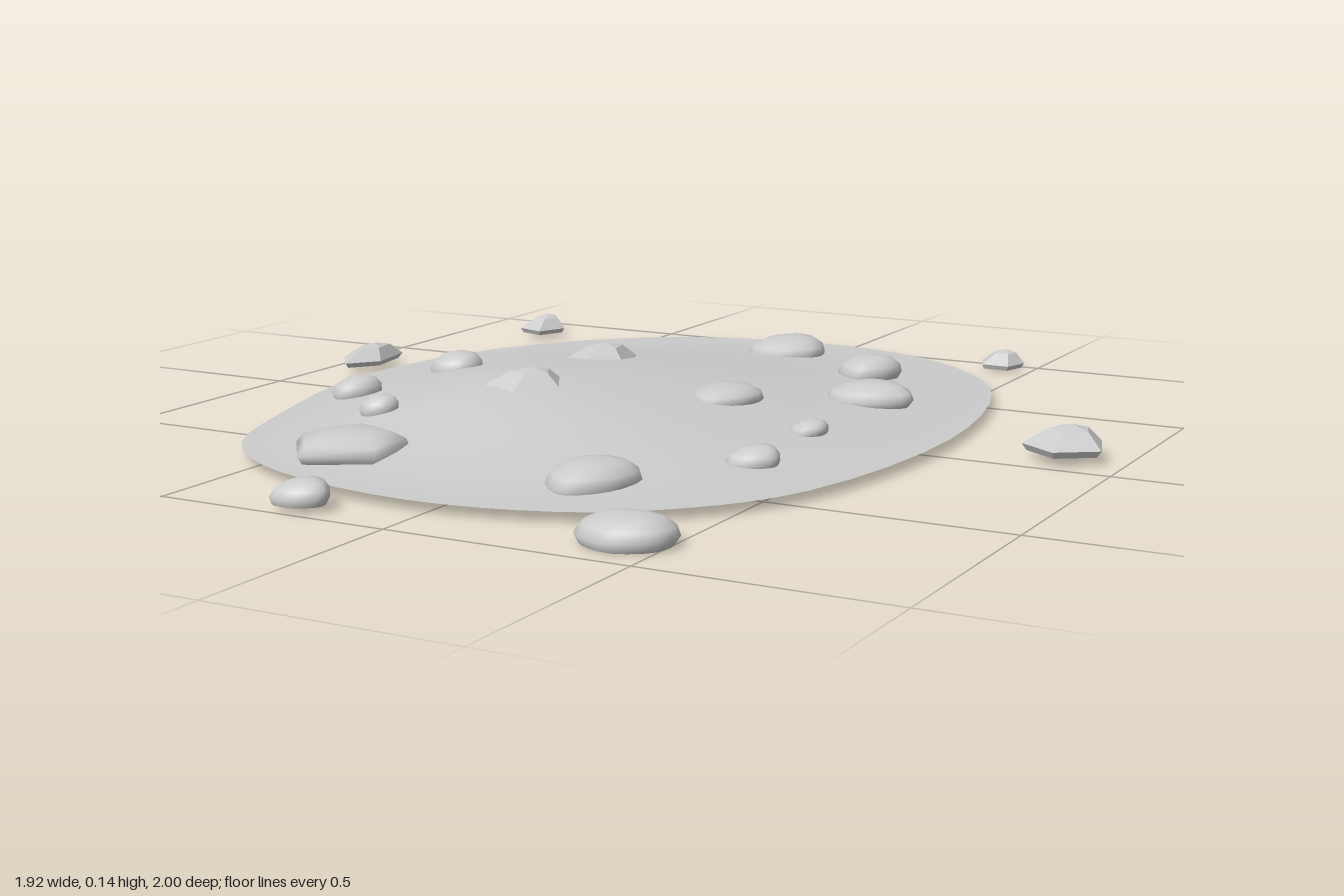
import * as THREE from 'three';
import { mergeVertices } from 'three/addons/utils/BufferGeometryUtils.js';

// Skin stacked rings; each ring is a clockwise loop of Vector3 (seen from above), listed bottom to top.
function loft(rings) {
  const n = rings[0].length;
  const index = [];
  for (let i = 0; i < rings.length - 1; i++) {
    for (let j = 0; j < n; j++) {
      const a = i * n + j, b = i * n + (j + 1) % n;
      index.push(b, a, a + n, b, a + n, b + n);
    }
  }
  const g = new THREE.BufferGeometry().setFromPoints(rings.flat());
  g.setIndex(index);
  const merged = mergeVertices(g, 1e-5);
  merged.computeVertexNormals();
  return merged;
}

// Closed smooth curve through plan points
function smoothLoop(points, count) {
  const curve = new THREE.CatmullRomCurve3(points, true, 'centripetal');
  return curve.getPoints(count).slice(0, count);
}

// Uneven polygon of stone corners; turn sets where the first corner falls
function stoneOutline(sides, rx, rz, turn) {
  return Array.from({ length: sides }, (_, k) => {
    const angle = turn + (k * 2 * Math.PI) / sides;
    const r = 1.03 + 0.07 * Math.sin(3.1 * k + 9 * turn);
    return new THREE.Vector3(rx * r * Math.cos(angle), 0, rz * r * Math.sin(angle));
  });
}

// Dome levels from base centre to crown: [plan scale, height fraction]
const ROUNDED = [[0, 0], [0.88, 0], [0.9, 0.01], [1, 0.3], [0.9, 0.62], [0.62, 0.88], [0.3, 0.98], [0, 1]];
const ANGULAR = [[0, 0], [0.88, 0], [1, 0.25], [0.5, 0.82], [0, 1]];

// Stack scaled copies of an outline, the crown leaning slightly off centre
function dome(outline, levels, height) {
  return loft(levels.map(([s, h]) => outline.map((p) =>
    new THREE.Vector3(p.x * s + 0.01 * h * h, h * height, p.z * s - 0.01 * h * h))));
}

// Stones: x, z, half width, half depth, turn, base height, stone height
const ROUND_STONES = [
  [-0.06, -0.775, 0.09, 0.105, 0.3, 0.012, 0.056],
  [0.24, -0.575, 0.07, 0.075, 0.5, 0.025, 0.053],
  [0.36, -0.305, 0.095, 0.085, 0.1, 0.025, 0.05],
  [-0.61, -0.155, 0.06, 0.058, 0.7, 0.025, 0.055],
  [0.145, -0.035, 0.074, 0.087, 0.5, 0.052, 0.043],
  [0.385, 0.06, 0.038, 0.045, 0.4, 0.028, 0.032],
  [-0.67, 0.155, 0.053, 0.055, 0.5, 0.02, 0.05],
  [-0.44, 0.395, 0.042, 0.035, 0.6, 0.05, 0.042],
  [0.395, 0.33, 0.05, 0.06, 0.2, 0.02, 0.042],
  [0.195, 0.61, 0.085, 0.102, 0.52, 0.012, 0.058],
  [0.42, 0.88, 0.097, 0.072, 0.45, 0, 0.056],
  [-0.22, 0.945, 0.055, 0.053, 0.2, 0.01, 0.046],
];
const FACETED_STONES = [
  [-0.275, -0.245, 0.073, 0.093, 0.31, 0.065, 0.05],
  [-0.21, 0.18, 0.082, 0.088, 0.1, 0.085, 0.05],
  [-0.785, -0.83, 0.06, 0.067, -0.1, 0.01, 0.045],
  [0.425, -0.95, 0.054, 0.053, -0.31, 0.005, 0.043],
  [-0.91, -0.235, 0.053, 0.1, 0.31, 0.015, 0.047],
  [0.875, -0.1, 0.082, 0.083, 0.31, 0.016, 0.056],
];

export function createModel() {
  const model = new THREE.Group();
  const smooth = new THREE.MeshStandardMaterial({ color: 0xcccccc });
  const flat = new THREE.MeshStandardMaterial({ color: 0xcccccc, flatShading: true });
  const thin = new THREE.MeshStandardMaterial({ color: 0xcccccc, side: THREE.DoubleSide });

  // Low open mound, rising in a soft bell to an off-centre crest
  const edge = [
    [-0.05, -0.96], [0.2, -0.915], [0.39, -0.79], [0.54, -0.58], [0.64, -0.06], [0.56, 0.49], [0.415, 0.7],
    [0.245, 0.815], [-0.05, 0.87], [-0.41, 0.79], [-0.6, 0.64], [-0.71, 0.375], [-0.81, -0.08],
    [-0.695, -0.565], [-0.41, -0.87],
  ].map(([x, z]) => new THREE.Vector3(x, 0, z));
  const rim = smoothLoop(edge, 64);
  const crest = new THREE.Vector3(-0.23, 0, 0.12);
  const rings = [];
  for (let i = 16; i >= 0; i--) {
    const t = i / 16;
    const y = 0.02 + 0.0425 * (1 + Math.cos(Math.PI * t));
    rings.push(rim.map((p) => crest.clone().lerp(p, t).setY(y)));
  }
  const mound = new THREE.Mesh(loft(rings), thin);
  mound.name = 'mound';
  model.add(mound);

  // Stones set into the mound and scattered round it
  const addStone = (name, geometry, material, x, y, z) => {
    const stone = new THREE.Mesh(geometry, material);
    stone.name = name;
    stone.position.set(x, y, z);
    model.add(stone);
  };
  ROUND_STONES.forEach(([x, z, rx, rz, turn, base, height], i) => {
    const outline = smoothLoop(stoneOutline(6, rx, rz, turn), 20);
    addStone(`roundStone${i + 1}`, dome(outline, ROUNDED, height), smooth, x, base, z);
  });
  FACETED_STONES.forEach(([x, z, rx, rz, turn, base, height], i) => {
    addStone(`facetedStone${i + 1}`, dome(stoneOutline(5, rx, rz, turn), ANGULAR, height), flat, x, base, z);
  });

  // Broad slab with straight sides and soft shading
  addStone('slabStone', dome(stoneOutline(5, 0.13, 0.11, 0.6), ROUNDED, 0.056), smooth, -0.335, 0.022, 0.64);
  return model;
}
